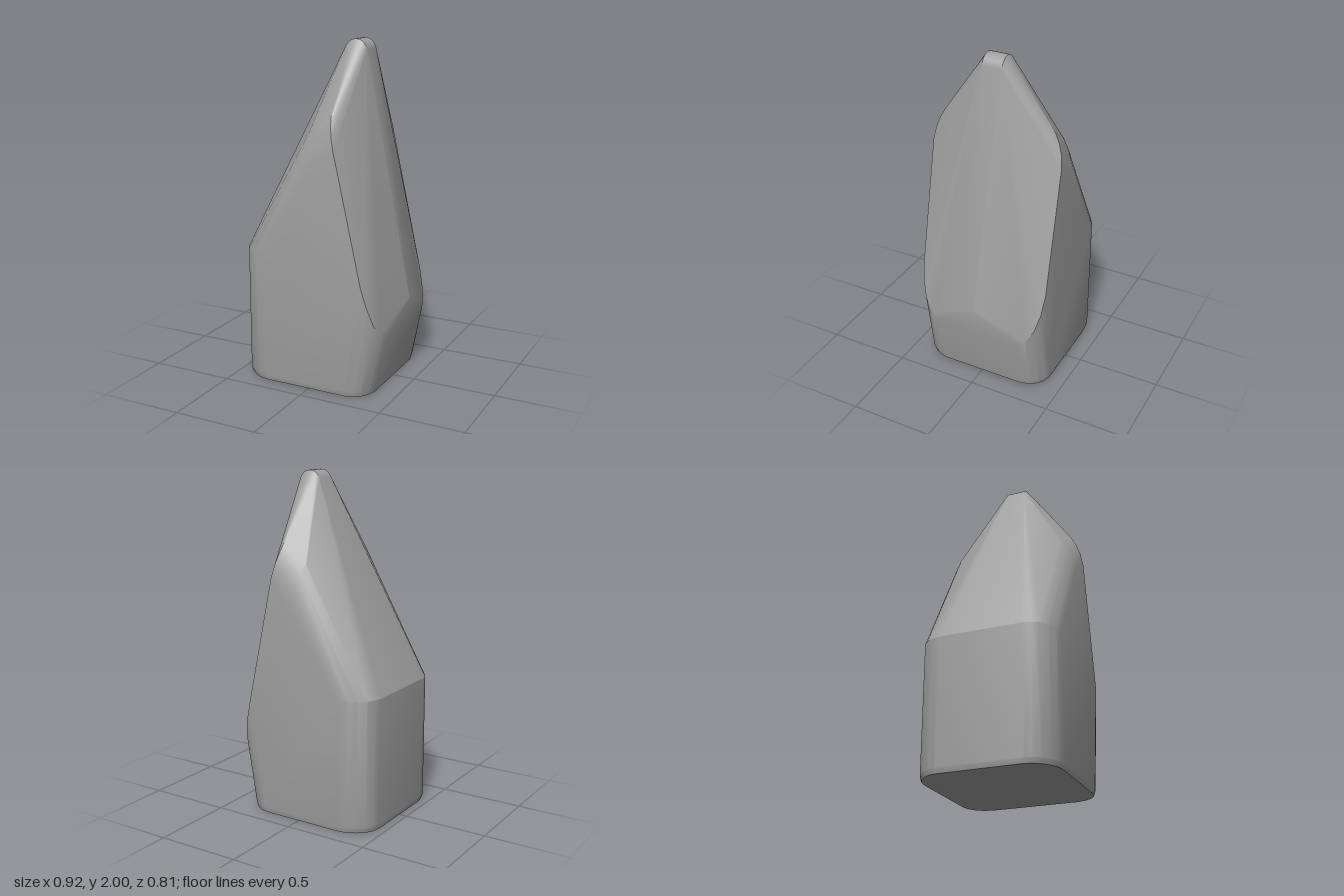
import * as THREE from 'three';
import { ConvexGeometry } from 'three/addons/geometries/ConvexGeometry.js';
import { toCreasedNormals } from 'three/addons/utils/BufferGeometryUtils.js';

export function createModel() {
  const group = new THREE.Group();
  group.name = 'standingStone';
  const stone = new THREE.MeshStandardMaterial({ color: 0xa0a0a0 });
  stone.name = 'stoneGrey';

  const points = [];
  // every point is mirrored across z = 0
  const add = (x, y, z) => {
    points.push(new THREE.Vector3(x, y, z));
    if (z > 0) points.push(new THREE.Vector3(x, y, -z));
  };

  // rounded upright corners on the right (-x) end: foot, bevel and shoulder
  const backCorner = [[-0.46, 0.25], [-0.45, 0.295], [-0.425, 0.335], [-0.385, 0.37], [-0.335, 0.396], [-0.28, 0.405]];
  for (const [x, z] of backCorner) {
    add(x + 0.008, 0, z - 0.008);
    add(x, 0.03, z);
    add(x, 0.78, z);
  }

  // rounded corners on the left (+x) end, leaning outwards up to the waist
  const foot = [[0.37, 0.27], [0.355, 0.325], [0.325, 0.367], [0.285, 0.393], [0.24, 0.405]];
  const waist = [[0.43, 0.34, 0.27], [0.418, 0.37, 0.32], [0.395, 0.45, 0.365], [0.368, 0.55, 0.392], [0.335, 0.67, 0.405]];
  for (const [x, z] of foot) {
    add(x - 0.006, 0, z - 0.008);
    add(x, 0.03, z);
  }
  for (const p of waist) add(...p);
  add(0.46, 0.51, 0);

  // softened shoulder where the side walls turn into the sloping top
  const shoulder = [
    [-0.02, 1.5, 0.33], [-0.005, 1.45, 0.365], [0.01, 1.39, 0.39], [0.02, 1.32, 0.405],
    [0.125, 1.6, 0.345], [0.135, 1.55, 0.372], [0.15, 1.49, 0.393], [0.167, 1.42, 0.405],
  ];
  for (const p of shoulder) add(...p);

  // short rounded ridge at the tip
  for (let i = 0; i <= 10; i++) {
    const a = THREE.MathUtils.degToRad(10 + i * 14.5);
    add(0.135 + 0.07 * Math.cos(a), 1.93 + 0.07 * Math.sin(a), 0.06);
  }

  const body = new THREE.Mesh(toCreasedNormals(new ConvexGeometry(points), 0.36), stone);
  body.name = 'stoneBody';
  group.add(body);
  return group;
}
